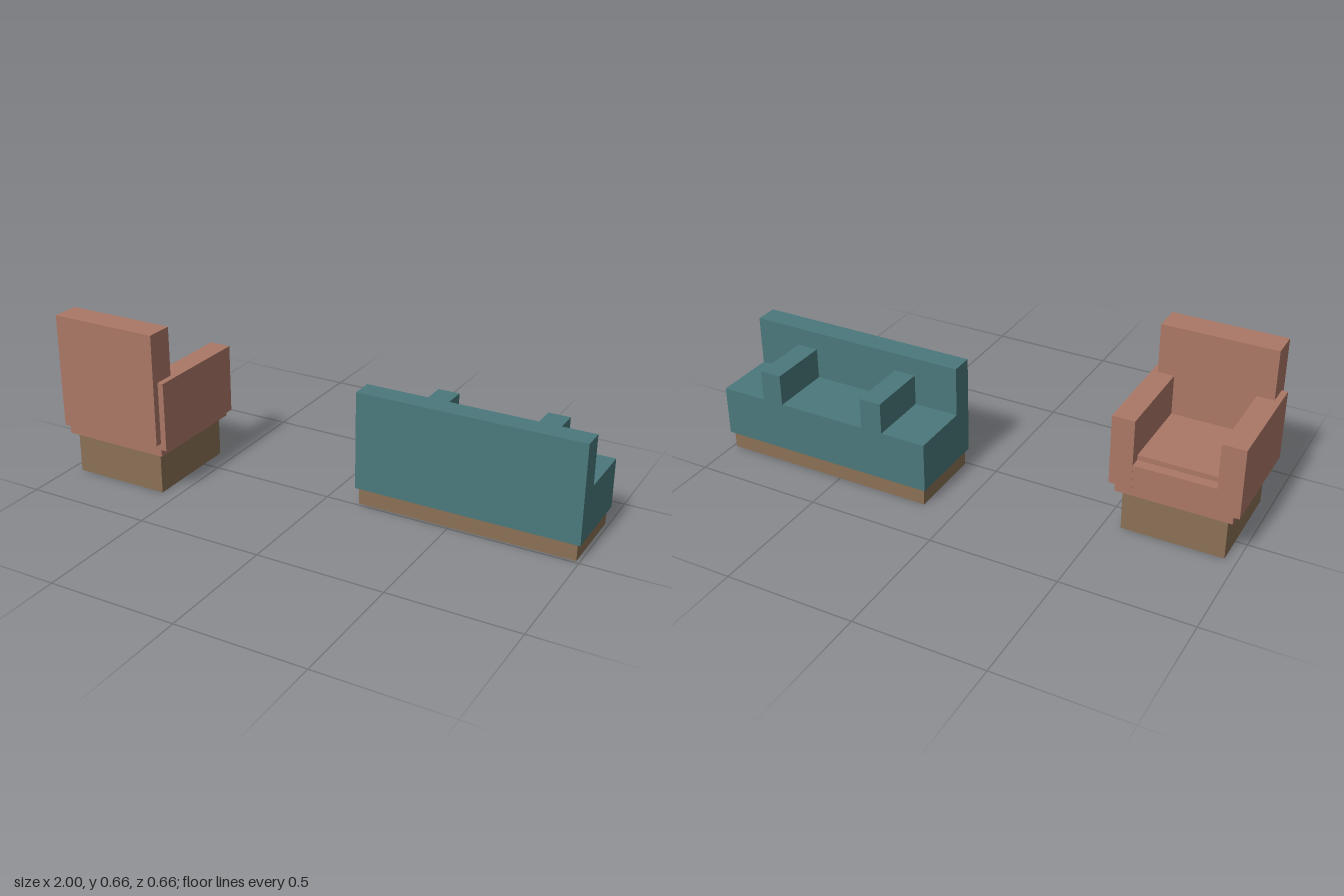
import * as THREE from 'three';

const teal = new THREE.MeshStandardMaterial({ name: 'teal fabric', color: 0x4a787b });
const clay = new THREE.MeshStandardMaterial({ name: 'terracotta fabric', color: 0xab7766 });
const wood = new THREE.MeshStandardMaterial({ name: 'brown plinth', color: 0x8a7055 });

// Box given by its extents [min, max] on each axis
function block(name, material, [x0, x1], [y0, y1], [z0, z1]) {
  const mesh = new THREE.Mesh(new THREE.BoxGeometry(x1 - x0, y1 - y0, z1 - z0), material);
  mesh.position.set((x0 + x1) / 2, (y0 + y1) / 2, (z0 + z1) / 2);
  mesh.name = name;
  return mesh;
}

// Armchair, seat opening towards -z
function createArmchair() {
  const chair = new THREE.Group();
  chair.name = 'armchair';
  chair.add(
    block('chairBase', wood, [-0.955, -0.565], [0, 0.166], [-0.114, 0.28]),
    block('chairSeat', clay, [-0.977, -0.542], [0.166, 0.29], [-0.136, 0.302]),
    block('chairCushion', clay, [-0.912, -0.605], [0.28, 0.31], [-0.096, 0.23]),
    block('chairBack', clay, [-0.977, -0.542], [0.221, 0.66], [0.222, 0.33])
  );
  // Arms overhang the seat on both sides
  for (const [name, x] of [['chairRightArm', [-1, -0.912]], ['chairLeftArm', [-0.605, -0.519]]]) {
    chair.add(block(name, clay, x, [0.195, 0.467], [-0.137, 0.303]));
  }
  return chair;
}

// Sofa, seat opening towards -z, with two inset arms
function createSofa() {
  const sofa = new THREE.Group();
  sofa.name = 'sofa';
  sofa.add(
    block('sofaBase', wood, [0.13, 0.987], [0, 0.068], [-0.319, -0.011]),
    block('sofaSeat', teal, [0.119, 1], [0.068, 0.263], [-0.33, 0]),
    block('sofaBack', teal, [0.119, 1], [0.263, 0.457], [-0.088, 0])
  );
  for (const [name, x] of [['sofaRightArm', [0.296, 0.382]], ['sofaLeftArm', [0.735, 0.82]]]) {
    sofa.add(block(name, teal, x, [0.263, 0.385], [-0.33, -0.088]));
  }
  return sofa;
}

export function createModel() {
  const model = new THREE.Group();
  model.name = 'loungeSet';
  model.add(createArmchair(), createSofa());
  return model;
}
